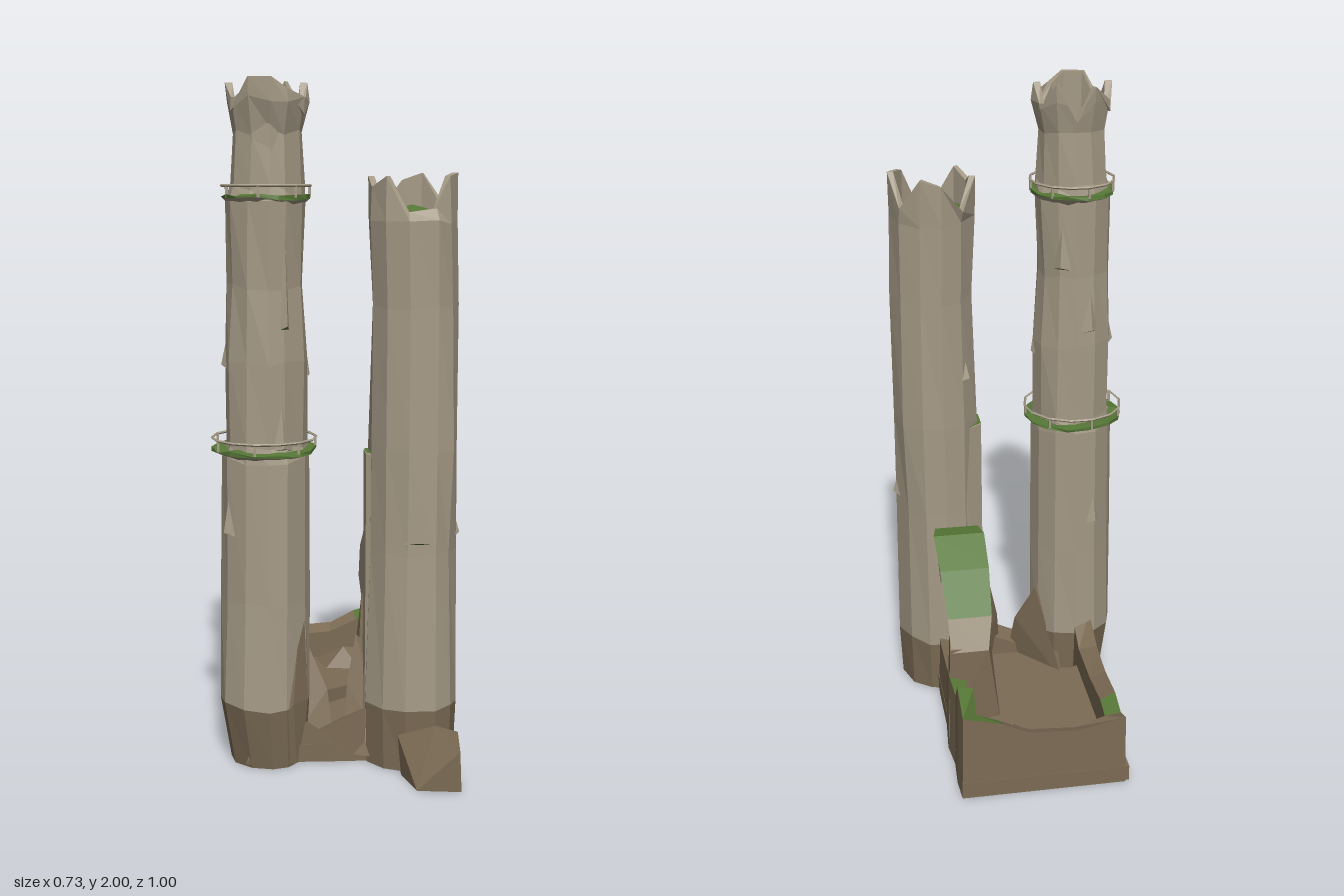
import * as THREE from 'three';
import { ConvexGeometry } from 'three/addons/geometries/ConvexGeometry.js';

const paint = (name, color) => {
  const m = new THREE.MeshStandardMaterial({ color, side: THREE.DoubleSide });
  m.name = name;
  return m;
};

// small seeded noise in -1..1
const noise = (i) => {
  const s = Math.sin(i * 127.1 + 11.7) * 43758.5453;
  return (s - Math.floor(s)) * 2 - 1;
};

// faceted mesh from a list of polygons, each a list of [x, y, z]
function facets(name, material, polys) {
  const pos = [];
  for (const p of polys)
    for (let i = 1; i < p.length - 1; i++) pos.push(...p[0], ...p[i], ...p[i + 1]);
  const g = new THREE.BufferGeometry();
  g.setAttribute('position', new THREE.Float32BufferAttribute(pos, 3));
  g.computeVertexNormals();
  const mesh = new THREE.Mesh(g, material);
  mesh.name = name;
  return mesh;
}

// quads joining successive closed rings
function loft(rings) {
  const out = [];
  for (let k = 0; k < rings.length - 1; k++) {
    const a = rings[k], b = rings[k + 1], n = a.length;
    for (let j = 0; j < n; j++) {
      const l = (j + 1) % n;
      out.push([a[j], b[j], b[l]], [a[j], b[l], a[l]]);
    }
  }
  return out;
}

function chunk(name, material, points) {
  const mesh = new THREE.Mesh(new ConvexGeometry(points.map((p) => new THREE.Vector3(...p))), material);
  mesh.name = name;
  return mesh;
}

// uneven ring: [y, radius, centre x, centre z]
function ring([y, r, cx, cz], sides, rough, seed) {
  return Array.from({ length: sides }, (_, j) => {
    const t = ((j + 0.15 * noise(j + seed)) / sides) * Math.PI * 2;
    const q = r * (1 + rough * noise(j * 3.7 + y * 9 + seed));
    return [cx + Math.cos(t) * q, y + (y > 0 ? rough * 0.25 * noise(j + y * 5) : 0), cz + Math.sin(t) * q];
  });
}

// hollow ruined tower: brown footing, stone shaft, broken crown, mossy floor
function tower(name, mats, { footing, shaft, teeth, wall, floorY, rough, seed }) {
  const group = new THREE.Group();
  group.name = name;
  const n = teeth.length;
  const foot = footing.map((s) => ring(s, n, rough, seed));
  const body = shaft.map((s) => ring(s, n, rough, seed));
  const [, , cx, cz] = shaft[shaft.length - 1];
  const rim = body[body.length - 1].map(([x, , z], j) => [x, teeth[j], z]);
  const inset = (y) => ([x, yy, z]) => [cx + (x - cx) * wall, y ?? yy, cz + (z - cz) * wall];
  const inner = rim.map(inset());
  const floor = rim.map(inset(floorY));
  group.add(
    facets('footing', mats.earth, [...loft([...foot, body[0]]), foot[0]]),
    facets('shaft', mats.stone, loft([...body.slice(0, -1), rim, inner, floor])),
    facets('mossyFloor', mats.moss, floor.map((p, j) => [[cx, floorY + 0.03, cz], floor[(j + 1) % n], p]))
  );
  return group;
}

// mossy ledge with a thin railing
function balcony(name, mats, x, z, y, r, inner) {
  const group = new THREE.Group();
  group.name = name;
  const n = 14;
  const rings = [[y - 0.02, inner], [y - 0.005, r], [y + 0.004, r], [y + 0.006, inner]]
    .map(([h, q]) => ring([h, q, x, z], n, 0.02, 3));
  group.add(facets('ledgeUnderside', mats.stone, loft(rings.slice(0, 2))));
  group.add(facets('mossyLedge', mats.moss, loft(rings.slice(1))));
  const rail = new THREE.Mesh(new THREE.TorusGeometry(r, 0.004, 4, n).toNonIndexed(), mats.stone);
  rail.geometry.computeVertexNormals();
  rail.rotation.x = Math.PI / 2;
  rail.position.set(x, y + 0.032, z);
  rail.name = 'rail';
  group.add(rail);
  for (let i = 0; i < 7; i++) {
    const t = (i / 7) * Math.PI * 2;
    const post = new THREE.Mesh(new THREE.BoxGeometry(0.007, 0.034, 0.007), mats.stone);
    post.position.set(x + Math.cos(t) * r * 0.98, y + 0.016, z + Math.sin(t) * r * 0.98);
    post.name = 'railPost';
    group.add(post);
  }
  return group;
}

// pointed stone shard with a mossy foot, set against a shaft
function shard(mats, cx, cz, r, angle, y, h, w) {
  const at = (q, a, yy) => [cx + Math.cos(a) * q, yy, cz + Math.sin(a) * q];
  const d = w / r;
  const l = at(r * 0.96, angle - d, y), m = at(r * 1.1, angle, y + 0.01), e = at(r * 0.96, angle + d, y);
  const tip = at(r * 0.97, angle, y + h);
  const group = new THREE.Group();
  group.name = 'shard';
  group.add(facets('shardFace', mats.stone, [[l, tip, m], [m, tip, e]]));
  group.add(facets('shardMoss', mats.moss, [[l, m, e]]));
  return group;
}

export function createModel() {
  const mats = {
    stone: paint('pale stone', 0xa59a86),
    earth: paint('brown stone', 0x7b6b54),
    moss: paint('moss green', 0x567736),
  };
  const { stone, earth, moss } = mats;
  const model = new THREE.Group();
  model.name = 'ruinedTowers';

  // tall tower with two balconies
  model.add(tower('tallTower', mats, {
    footing: [[0, 0.115, -0.195, 0.17]],
    shaft: [
      [0.19, 0.137, -0.207, 0.178], [0.5, 0.13, -0.205, 0.176], [0.92, 0.128, -0.2, 0.172],
      [0.96, 0.118, -0.2, 0.17], [1.2, 0.12, -0.2, 0.17], [1.42, 0.11, -0.2, 0.172],
      [1.66, 0.115, -0.195, 0.175], [1.7, 0.106, -0.193, 0.176], [1.85, 0.099, -0.19, 0.178],
      [1.94, 0.117, -0.19, 0.178], [2, 0.117, -0.19, 0.178],
    ],
    teeth: [1.99, 1.9, 1.97, 2, 2, 1.91, 1.99, 1.91, 1.99, 1.89, 2, 1.92],
    wall: 0.82, floorY: 1.79, rough: 0.04, seed: 2,
  }));
  model.add(balcony('lowerBalcony', mats, -0.205, 0.168, 0.945, 0.153, 0.115));
  model.add(balcony('upperBalcony', mats, -0.195, 0.172, 1.672, 0.128, 0.108));

  // shorter plain tower
  model.add(tower('shortTower', mats, {
    footing: [[0, 0.13, 0.222, 0.215]],
    shaft: [
      [0.18, 0.137, 0.222, 0.212], [0.65, 0.13, 0.225, 0.206], [0.95, 0.133, 0.228, 0.202],
      [1.36, 0.127, 0.23, 0.196], [1.6, 0.13, 0.225, 0.196], [1.72, 0.127, 0.224, 0.185],
    ],
    teeth: [1.74, 1.73, 1.64, 1.63, 1.73, 1.7, 1.73, 1.64, 1.72, 1.74, 1.65],
    wall: 0.86, floorY: 1.62, rough: 0.04, seed: 7,
  }));
  model.add(chunk('sideButtress', stone, [
    [0.09, 0.05, 0.14], [0.085, 0.05, 0.24], [0.09, 0.93, 0.15], [0.09, 0.93, 0.22],
    [0.16, 0.93, 0.1], [0.16, 0.93, 0.28], [0.16, 0.05, 0.1], [0.16, 0.05, 0.3]]));
  model.add(facets('buttressMoss', moss, [
    [[0.09, 0.934, 0.15], [0.09, 0.934, 0.22], [0.16, 0.934, 0.28], [0.16, 0.934, 0.1]]]));

  // loose shards on both shafts: angle, height, length, half width
  for (const [a, y, h, w] of [[1.2, 0.95, 0.14, 0.04], [1.1, 1.3, 0.3, 0.015], [0, 1.15, 0.12, 0.03],
    [3.2, 1.18, 0.08, 0.03], [4.4, 1.25, 0.12, 0.03], [5.2, 1.45, 0.13, 0.03]])
    model.add(shard(mats, -0.2, 0.17, 0.117, a, y, h, w));
  for (const [a, y, h, w] of [[1.55, 0.68, 0.12, 0.04], [0.05, 0.68, 0.07, 0.025], [4, 1.1, 0.06, 0.04]])
    model.add(shard(mats, 0.225, 0.205, 0.131, a, y, h, w));
  model.add(shard(mats, -0.205, 0.175, 0.13, 2.6, 0.7, 0.1, 0.03));
  model.add(shard(mats, -0.205, 0.175, 0.13, 4.3, 0.6, 0.12, 0.03));

  // foundation slab and raised rear floor
  const slab = new THREE.Mesh(new THREE.BoxGeometry(0.51, 0.05, 0.74), earth);
  slab.position.set(-0.005, 0.03, -0.13);
  slab.name = 'foundation';
  model.add(slab);
  const step = [[-0.22, 0.01], [-0.05, -0.075], [0.08, -0.17], [0.22, -0.23], [0.22, -0.47], [-0.22, -0.47]];
  const terrace = (y) => step.map(([x, z]) => [x, y, z]);
  model.add(facets('rearFloor', earth, [...loft([terrace(0.05).reverse(), terrace(0.1).reverse()]), terrace(0.1)]));
  model.add(chunk('floorRubble', earth, [
    [-0.01, 0.1, -0.43], [0.02, 0.1, -0.33], [0.13, 0.1, -0.31], [0.14, 0.1, -0.4], [0.08, 0.16, -0.37], [0.13, 0.15, -0.39]]));

  // broken perimeter wall: outer x, z, inner x, z, crest height, mossy top
  const wall = [
    [0.25, -0.5, 0.2, -0.45, 0.28, 1], [0.255, -0.42, 0.2, -0.4, 0.34, 1], [0.25, -0.33, 0.21, -0.33, 0.25, 1],
    [0.26, -0.24, 0.2, -0.24, 0.27, 0], [0.25, -0.12, 0.17, -0.13, 0.21, 0], [0.25, 0.06, 0.15, 0.06, 0.2, 0],
    [0.24, 0.22, 0.15, 0.18, 0.2, 0], [0.08, 0.243, 0.08, 0.18, 0.16, 0], [-0.05, 0.24, -0.05, 0.18, 0.1, 0],
    [-0.2, 0.23, -0.16, 0.17, 0.18, 0], [-0.262, 0.08, -0.2, 0.06, 0.25, 0], [-0.26, -0.05, -0.2, -0.03, 0.2, 0],
    [-0.255, -0.2, -0.2, -0.2, 0.2, 0], [-0.252, -0.35, -0.2, -0.35, 0.22, 1], [-0.252, -0.43, -0.2, -0.43, 0.2, 0],
    [-0.25, -0.5, -0.19, -0.45, 0.23, 0], [-0.1, -0.5, -0.1, -0.45, 0.2, 0], [0.05, -0.5, 0.04, -0.45, 0.21, 0],
    [0.13, -0.5, 0.13, -0.45, 0.25, 1],
  ];
  const outerFoot = wall.map(([x, z]) => [x, 0, z]);
  const outerTop = wall.map(([x, z, , , h]) => [x * 0.98, h, z * 0.99]);
  const innerTop = wall.map(([, , x, z, h]) => [x, h - 0.02, z]);
  const innerFoot = wall.map(([, , x, z]) => [x, 0.04, z]);
  const crest = loft([outerTop, innerTop]);
  const mossy = (_, i) => wall[Math.floor(i / 2)][5];
  model.add(facets('perimeterWall', earth, [
    ...loft([outerFoot, outerTop]), ...crest.filter((p, i) => !mossy(p, i)), ...loft([innerTop, innerFoot])]));
  model.add(facets('wallMoss', moss, crest.filter(mossy)));

  // pier and flying arch to the short tower: z, top y, under y, left x, right x
  model.add(chunk('archPier', earth, [
    [0.1, 0.05, -0.14], [0.25, 0.05, -0.13], [0.26, 0.05, -0.26], [0.09, 0.05, -0.24],
    [0.12, 0.4, -0.17], [0.24, 0.4, -0.17], [0.25, 0.36, -0.25], [0.13, 0.36, -0.24]]));
  const spans = [
    [-0.25, 0.35, -0.17, 0.36, 0.13, 0.245], [-0.215, 0.45, -0.165, 0.45, 0.115, 0.25],
    [-0.13, 0.57, -0.11, 0.53, 0.11, 0.26], [-0.03, 0.64, -0.03, 0.595, 0.11, 0.268],
    [0.04, 0.63, 0.02, 0.55, 0.12, 0.255], [0.09, 0.6, 0.06, 0.42, 0.13, 0.25]];
  const topFaces = [], stoneFaces = [];
  for (let i = 0; i < spans.length - 1; i++) {
    const corners = ([zt, t, zb, b, l, r]) => [[l, t, zt], [r, t, zt], [r - 0.01, b, zb], [l + 0.01, b, zb]];
    const a = corners(spans[i]), b = corners(spans[i + 1]);
    for (let k = 0; k < 4; k++) {
      const n = (k + 1) % 4;
      (k === 0 && i > 0 ? topFaces : stoneFaces).push([a[k], b[k], b[n]], [a[k], b[n], a[n]]);
    }
  }
  model.add(facets('archStone', stone, stoneFaces), facets('archMoss', moss, topFaces));

  // broken spurs at the tower feet and a fallen block
  model.add(chunk('tallTowerSpur', earth, [
    [-0.16, 0.02, 0.04], [-0.16, 0.02, 0.24], [0, 0.02, 0.22], [-0.02, 0.2, 0.17], [-0.08, 0.34, 0.12], [-0.13, 0.3, 0.1]]));
  model.add(chunk('tallTowerFlare', earth, [
    [-0.27, 0.01, 0.27], [-0.12, 0.01, 0.27], [-0.085, 0.2, 0.25], [-0.098, 0.58, 0.23], [-0.13, 0.2, 0.295], [-0.15, 0.3, 0.2]]));
  model.add(chunk('shortTowerSpur', earth, [
    [0.15, 0.02, 0.08], [0.15, 0.02, 0.28], [0.02, 0.02, 0.23], [0.04, 0.22, 0.17], [0.07, 0.36, 0.13], [0.13, 0.3, 0.12]]));
  model.add(chunk('fallenBlock', earth, [
    [0.18, 0, 0.36], [0.21, 0, 0.48], [0.335, 0, 0.5], [0.34, 0, 0.38], [0.27, 0.17, 0.42],
    [0.17, 0.12, 0.355], [0.345, 0.13, 0.37], [0.33, 0.12, 0.5]]));
  return model;
}
